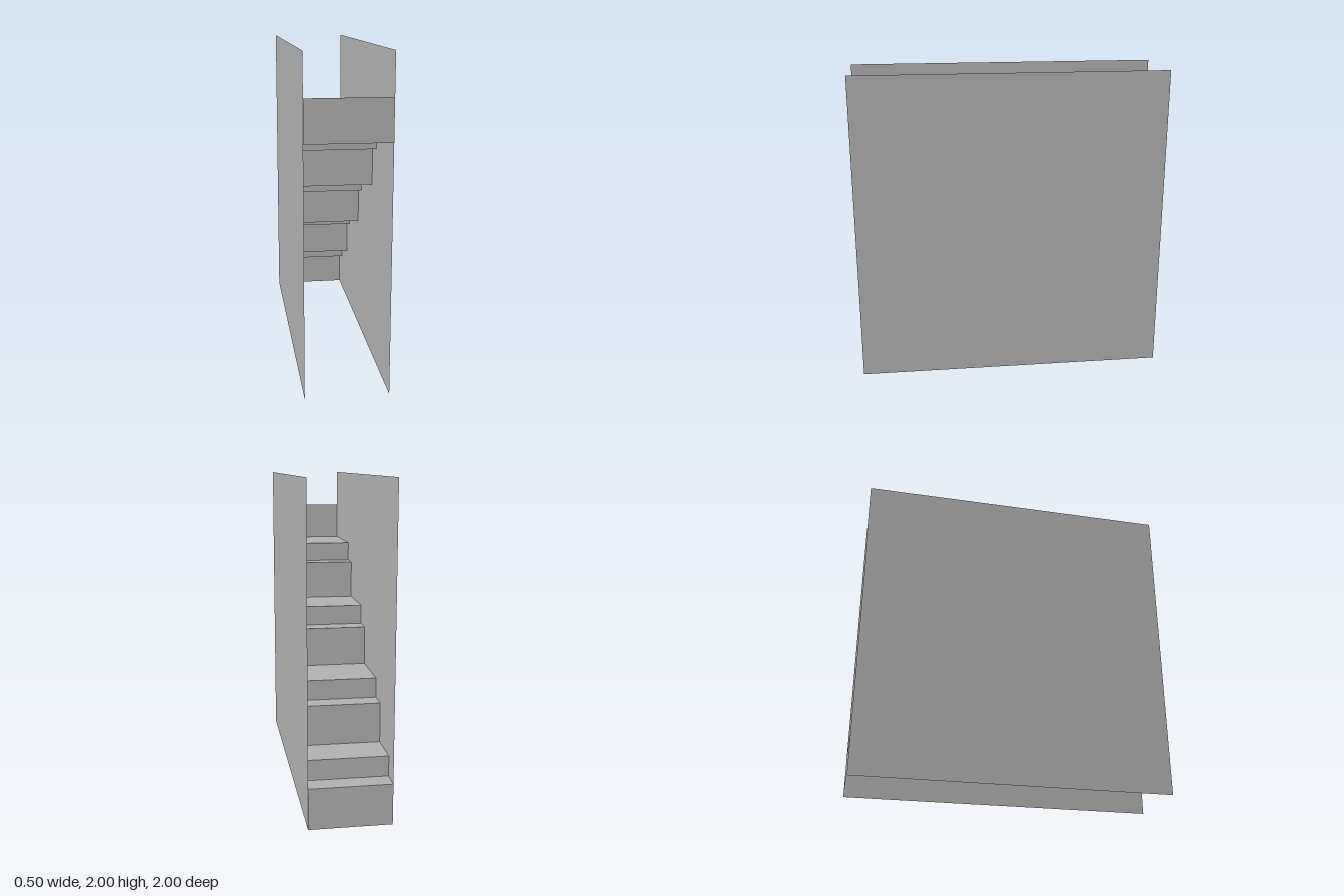
import * as THREE from 'three';

const WIDTH = 0.5;

// Back-to-front risers: [z, bottom y, top y]
const RISERS = [
  [-1, 0, 0.25], [-0.875, 0.25, 0.375], [-0.625, 0.375, 0.625],
  [-0.5, 0.625, 0.75], [-0.125, 0.75, 1], [0, 1, 1.125],
  [0.375, 1.125, 1.375], [0.5, 1.375, 1.5], [1, 1.5, 1.75],
];

export function createModel() {
  const model = new THREE.Group();
  model.name = 'walledStaircase';
  const grey = new THREE.MeshStandardMaterial({ color: 0xb2b2b2, side: THREE.DoubleSide });
  grey.name = 'plain grey';

  const addPanel = (parent, name, geometry, x, y, z) => {
    const mesh = new THREE.Mesh(geometry, grey);
    mesh.name = name;
    mesh.position.set(x, y, z);
    parent.add(mesh);
  };

  // Open-bottomed flight of thin risers and treads, climbing towards the front
  const stairs = new THREE.Group();
  stairs.name = 'stairs';
  model.add(stairs);
  RISERS.forEach(([z, low, high], i) => {
    const riser = new THREE.PlaneGeometry(WIDTH, high - low).rotateY(Math.PI);
    addPanel(stairs, `riser${i + 1}`, riser, 0, (low + high) / 2, z);
    if (i === RISERS.length - 1) return;
    const nextZ = RISERS[i + 1][0];
    const tread = new THREE.PlaneGeometry(WIDTH, nextZ - z).rotateX(-Math.PI / 2);
    addPanel(stairs, `tread${i + 1}`, tread, 0, high, (z + nextZ) / 2);
  });

  // Square side walls, facing outwards
  for (const [name, side] of [['leftWall', 1], ['rightWall', -1]]) {
    const wall = new THREE.PlaneGeometry(2, 2).rotateY(side * Math.PI / 2);
    addPanel(model, name, wall, side * WIDTH / 2, 1, 0);
  }

  return model;
}
